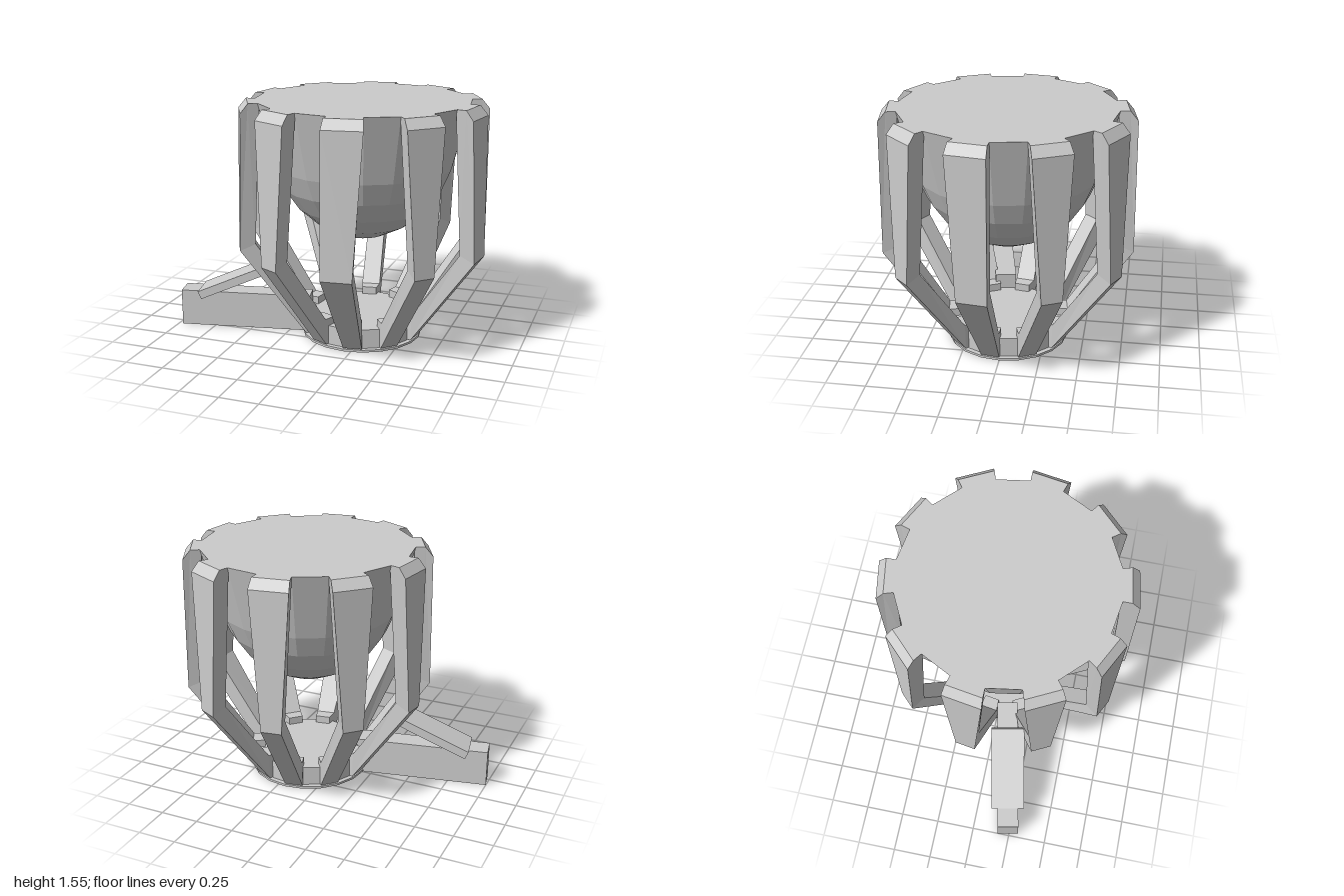
import * as THREE from 'three';

const CENTRE_X = 0.2;
const SIDES = 20;
const material = new THREE.MeshStandardMaterial({ color: 0xcccccc, flatShading: true });

function add(parent, name, geometry) {
  const mesh = new THREE.Mesh(geometry, material);
  mesh.name = name;
  parent.add(mesh);
  return mesh;
}

// Rib outline as [radius, height, width factor], counter-clockwise
const RIB = [
  [0.385, 0.02, 1], [0.8, 0.6, 0], [0.79, 1.49, 1], [0.74, 1.55, 1],
  [0.67, 1.55, 1], [0.7, 0.64, 0], [0.39, 0.19, 1], [0.31, 0.19, 1], [0.31, 0.02, 1],
];

// A bent rib: two radial outlines, narrow at the knee, joined by strips
function ribGeometry(angle, kneeLow, kneeHigh) {
  const side = (sign, knee) => RIB.map(([r, y, wide]) => {
    const a = THREE.MathUtils.degToRad(angle + sign * (wide ? 9 : knee));
    return [r * Math.cos(a), y, r * Math.sin(a)];
  });
  const low = side(-1, kneeLow);
  const high = side(1, kneeHigh);
  const pos = [];
  const tri = (a, b, c) => pos.push(...a, ...b, ...c);
  RIB.forEach((_, i) => {
    const j = (i + 1) % RIB.length;
    tri(high[j], high[i], low[i]);
    tri(high[j], low[i], low[j]);
  });
  const outline = RIB.map(([r, y]) => new THREE.Vector2(r, y));
  for (const [a, b, c] of THREE.ShapeUtils.triangulateShape(outline, [])) {
    tri(high[a], high[b], high[c]);
    tri(low[c], low[b], low[a]);
  }
  const geometry = new THREE.BufferGeometry();
  geometry.setAttribute('position', new THREE.Float32BufferAttribute(pos, 3));
  geometry.computeVertexNormals();
  return geometry;
}

export function createModel() {
  const model = new THREE.Group();
  model.name = 'ribbedVessel';

  const body = new THREE.Group();
  body.name = 'body';
  body.position.x = CENTRE_X;
  model.add(body);

  // Base plate and hub that hold the feet of the ribs
  add(body, 'basePlate', new THREE.CylinderGeometry(0.39, 0.39, 0.015, SIDES)).position.y = 0.0075;
  add(body, 'hub', new THREE.CylinderGeometry(0.36, 0.36, 0.13, SIDES)).position.y = 0.075;

  // Rounded bowl closed by a flat top
  const bowl = [
    [0, 0.66], [0.15, 0.68], [0.3, 0.755], [0.42, 0.86],
    [0.51, 0.99], [0.57, 1.13], [0.68, 1.55], [0, 1.55],
  ].map(([r, y]) => new THREE.Vector2(r, y));
  add(body, 'bowl', new THREE.LatheGeometry(bowl, SIDES));

  // Ten ribs around the bowl; two have one straight edge
  for (let i = 0; i < 10; i++) {
    const kneeLow = i === 0 ? 9 : 4.7;
    const kneeHigh = i === 2 ? 9 : 4.7;
    add(body, 'rib', ribGeometry(9 + i * 36, kneeLow, kneeHigh));
  }

  // Arm along the floor and a sloping flap above it
  const handle = new THREE.Group();
  handle.name = 'handle';
  handle.rotation.y = 0.2;
  body.add(handle);
  add(handle, 'arm', new THREE.BoxGeometry(0.87, 0.24, 0.14)).position.set(-0.775, 0.12, 0);
  const flap = add(handle, 'flap', new THREE.BoxGeometry(0.54, 0.055, 0.22));
  flap.position.set(-0.83, 0.33, 0);
  flap.rotation.z = 0.41;

  return model;
}
